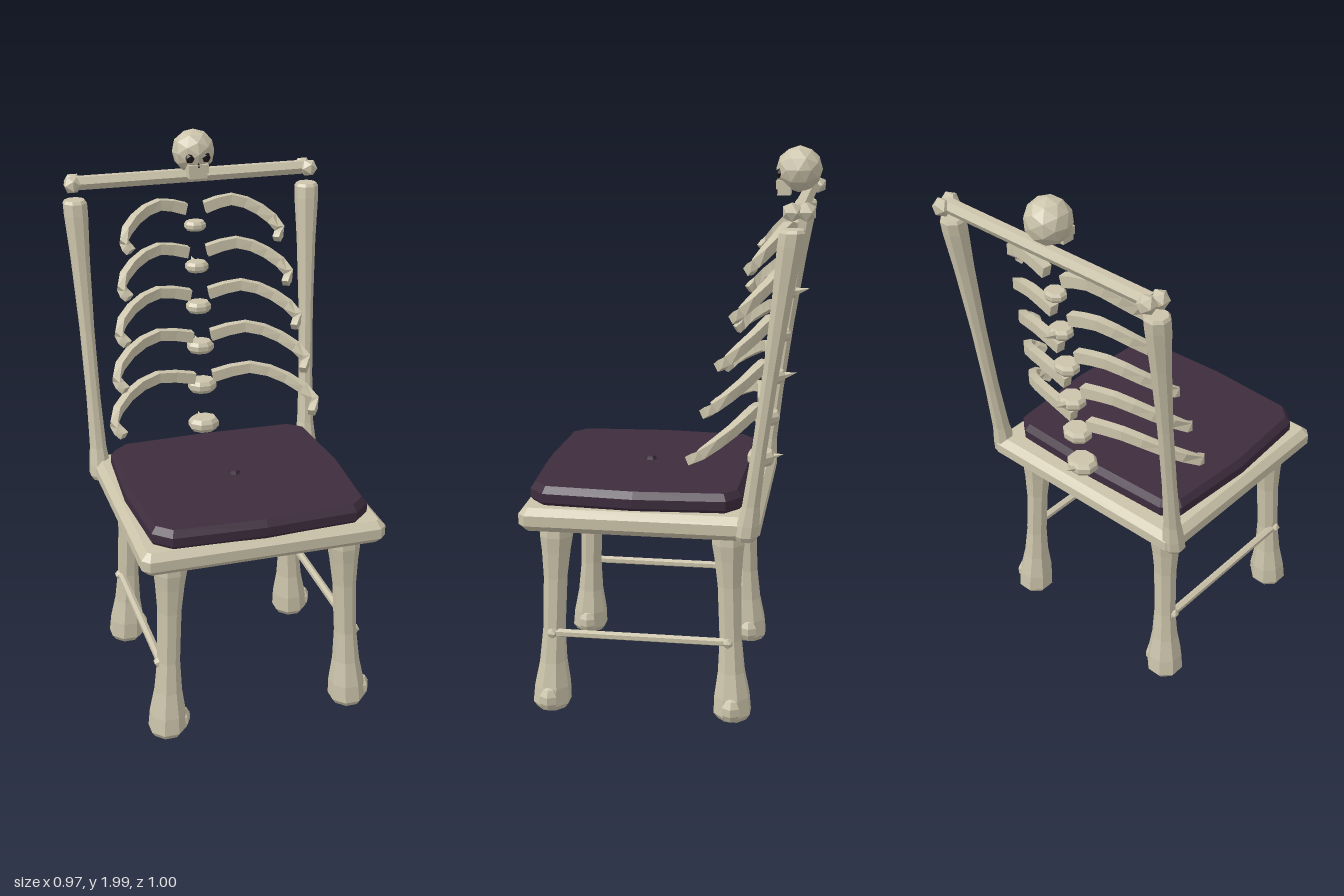
import * as THREE from 'three';

export function createModel() {
  const model = new THREE.Group();
  const bone = new THREE.MeshStandardMaterial({ color: 0xcbc3aa });
  const fabric = new THREE.MeshStandardMaterial({ color: 0x3d2c3d });
  const socket = new THREE.MeshStandardMaterial({ color: 0x1c1618 });
  bone.name = 'bone';
  fabric.name = 'purple cushion fabric';
  socket.name = 'dark socket';

  // Adds a faceted mesh
  function add(name, geometry, material, x = 0, y = 0, z = 0, parent = model) {
    const g = geometry.index ? geometry.toNonIndexed() : geometry;
    g.computeVertexNormals();
    const mesh = new THREE.Mesh(g, material);
    mesh.name = name;
    mesh.position.set(x, y, z);
    parent.add(mesh);
    return mesh;
  }

  // Turned profile of [height fraction, radius], leaning from base to top
  function limb(profile, base, top, sides = 8) {
    const pts = profile.map(([t, r]) => new THREE.Vector2(r, t));
    const g = new THREE.LatheGeometry(
      [new THREE.Vector2(0, 0), ...pts, new THREE.Vector2(0, 1)], sides);
    g.rotateY(Math.PI / sides);
    const p = g.attributes.position;
    for (let i = 0; i < p.count; i++) {
      const t = p.getY(i);
      p.setXYZ(i,
        p.getX(i) + base[0] + (top[0] - base[0]) * t,
        base[1] + (top[1] - base[1]) * t,
        p.getZ(i) + base[2] + (top[2] - base[2]) * t);
    }
    return g;
  }

  // Horizontal bevelled slab from an [x, z] outline, top face at y = 0
  function slab(outline, height, bevelThickness, bevelSize) {
    const shape = new THREE.Shape(outline.map(([x, z]) => new THREE.Vector2(x, z)));
    const g = new THREE.ExtrudeGeometry(shape, {
      depth: height - 2 * bevelThickness, bevelThickness, bevelSize,
      bevelOffset: -bevelSize, bevelSegments: 1,
    });
    return g.rotateX(Math.PI / 2).translate(0, -bevelThickness, 0);
  }

  // Seat board and cushion
  const c = 0.025;
  add('seatBoard', slab([
    [-0.44 + c, -0.34], [0.44 - c, -0.34], [0.44, -0.34 + c], [0.44, 0.5 - c],
    [0.44 - c, 0.5], [-0.44 + c, 0.5], [-0.44, 0.5 - c], [-0.44, -0.34 + c],
  ], 0.085, 0.024, 0.024), bone, 0, 0.79, 0);
  const half = [[0.33, -0.27], [0.39, -0.22], [0.41, 0.1], [0.39, 0.42], [0.33, 0.475]];
  add('cushion', slab([
    [0, -0.28], ...half, [0, 0.49], ...half.map(([x, z]) => [-x, z]).reverse(),
  ], 0.08, 0.024, 0.018), fabric, 0, 0.857, 0);
  add('cushionButton', new THREE.CylinderGeometry(0.018, 0.024, 0.016, 6), fabric, 0, 0.862, 0.1);

  // Legs with a knob on the foot
  const legProfile = [[0, 0.055], [0.03, 0.07], [0.12, 0.066], [0.25, 0.05], [0.42, 0.041],
    [0.7, 0.043], [0.84, 0.052], [0.92, 0.06], [1, 0.058]];
  for (const side of [-1, 1]) {
    for (const [name, zTop, zBase] of [['front', 0.385, 0.412], ['back', -0.222, -0.247]]) {
      add(name + 'Leg', limb(legProfile, [side * 0.347, 0.012, zBase],
        [side * 0.318, 0.72, zTop]), bone);
      add(name + 'FootKnob', new THREE.SphereGeometry(0.042, 6, 5).scale(0.8, 1.1, 0.9),
        bone, side * 0.347 + 0.052, 0.06, zBase);
    }
    // Side stretcher
    add('stretcher', new THREE.CylinderGeometry(0.015, 0.015, 0.63, 6).rotateX(Math.PI / 2),
      bone, side * 0.365, 0.305, 0.085);
    for (const z of [0.4, -0.23]) {
      add('stretcherKnob', new THREE.IcosahedronGeometry(0.021, 0), bone, side * 0.37, 0.305, z);
    }
  }

  // Back posts and the rail with paired end knobs
  const postProfile = [[0, 0.032], [0.018, 0.043], [0.055, 0.041], [0.12, 0.032], [0.3, 0.027],
    [0.55, 0.028], [0.8, 0.036], [0.95, 0.045], [0.99, 0.045], [1, 0.038]];
  for (const side of [-1, 1]) {
    add('backPost', limb(postProfile, [side * 0.417, 0.71, -0.292],
      [side * 0.445, 1.77, -0.43]), bone);
    add('railKnob', new THREE.IcosahedronGeometry(0.034, 0), bone, side * 0.442, 1.825, -0.472);
    add('railKnob', new THREE.IcosahedronGeometry(0.034, 0), bone, side * 0.452, 1.825, -0.427);
  }
  add('topRail', new THREE.CylinderGeometry(0.027, 0.027, 0.88, 6).rotateZ(Math.PI / 2),
    bone, 0, 1.825, -0.45);

  // Vertebrae, every second one with a rear spine
  for (let i = 0; i < 6; i++) {
    const y = 0.88 + i * 0.153;
    const size = 1 - i * 0.062;
    const z = -0.308 - (y - 0.88) * 0.13;
    const body = limb([[0, 0.8], [0.3, 1], [0.7, 1], [1, 0.8]], [0, -0.5, 0], [0, 0.5, 0]);
    body.scale(0.06 * size, 0.05 * size, 0.052 * size);
    add('vertebra', body, bone, 0, y, z);
    if (i % 2 === 0) {
      const spine = new THREE.ConeGeometry(0.02, 0.07, 5).rotateX(-Math.PI / 2 + 0.25);
      add('vertebraSpine', spine, bone, 0, y + 0.006, z - 0.05);
    }
  }

  // Ribs: a tapering bar swept along a curve that wraps forward
  function rib(side, k) {
    const mix = (a, b) => a + (b - a) * k;
    const reach = mix(0.3, 0.395);
    const y = mix(1.712, 1.075);
    const zBack = mix(-0.405, -0.305);
    const zTip = mix(-0.275, -0.09);
    const path = new THREE.CatmullRomCurve3([
      [0.037, 0, 0], [reach * 0.46, 0.025, 0.06], [reach * 0.79, -0.012, 0.34],
      [reach * 0.99, -0.075, 0.79], [reach * 0.92, -0.107, 1],
    ].map(([x, dy, f]) => new THREE.Vector3(side * x, y + dy, mix(zBack, zBack) + (zTip - zBack) * f)));
    const g = new THREE.BoxGeometry(1, 1, 1, 1, 1, 8);
    const p = g.attributes.position;
    const up = new THREE.Vector3(0, 1, 0);
    for (let i = 0; i < p.count; i++) {
      const t = THREE.MathUtils.clamp(p.getZ(i) + 0.5, 0, 1);
      const tangent = path.getTangent(t);
      const across = up.clone().cross(tangent).normalize();
      const rise = tangent.clone().cross(across);
      const taper = 1 - 0.25 * t;
      const v = path.getPoint(t)
        .addScaledVector(across, p.getX(i) * 0.034 * taper)
        .addScaledVector(rise, p.getY(i) * 0.042 * taper);
      p.setXYZ(i, v.x, v.y, v.z);
    }
    return g;
  }
  for (let i = 0; i < 5; i++) {
    add('leftRib', rib(1, i / 4), bone);
    add('rightRib', rib(-1, i / 4), bone);
  }

  // Skull ornament
  const skull = new THREE.Group();
  skull.name = 'skull';
  skull.position.set(0, 1.921, -0.424);
  model.add(skull);
  add('cranium', new THREE.IcosahedronGeometry(0.08, 1), bone, 0, 0, 0, skull);
  add('upperJaw', new THREE.BoxGeometry(0.076, 0.03, 0.05), bone, 0, -0.052, 0.052, skull);
  add('lowerJaw', new THREE.BoxGeometry(0.068, 0.02, 0.046), bone, 0, -0.078, 0.05, skull);
  for (const side of [-1, 1]) {
    add('eyeSocket', new THREE.IcosahedronGeometry(0.019, 0).scale(1, 1, 0.7),
      socket, side * 0.03, -0.013, 0.066, skull);
  }
  add('noseHole', new THREE.ConeGeometry(0.009, 0.018, 3), socket, 0, -0.037, 0.074, skull);

  return model;
}
